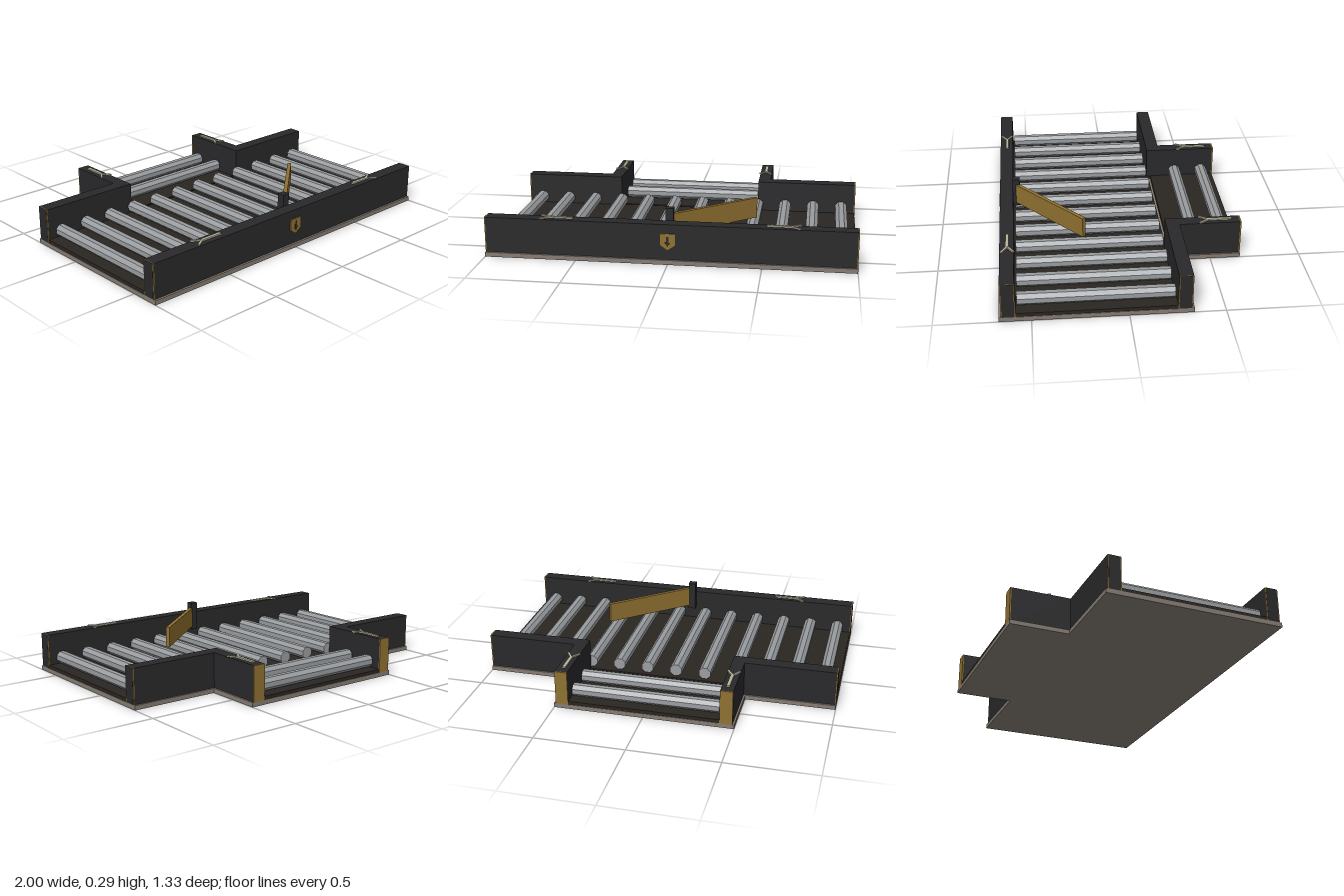
import * as THREE from 'three';

export function createModel() {
  const root = new THREE.Group();
  const mat = (color) => new THREE.MeshStandardMaterial({ color, flatShading: true });
  const stone = mat(0x857c72), floorMat = mat(0x2a2622), dark = mat(0x29292b);
  const gold = mat(0x8f7030), steel = mat(0x9a9da0), pale = mat(0xb8b29a);

  const add = (name, geo, material, parent = root) => {
    const m = new THREE.Mesh(geo, material);
    m.name = name;
    parent.add(m);
    return m;
  };
  // Box given by its minimum and maximum on each axis
  const box = (name, x0, x1, y0, y1, z0, z1, material, parent) => {
    const m = add(name, new THREE.BoxGeometry(x1 - x0, y1 - y0, z1 - z0), material, parent);
    m.position.set((x0 + x1) / 2, (y0 + y1) / 2, (z0 + z1) / 2);
    return m;
  };
  const extrude = (points, depth) => new THREE.ExtrudeGeometry(
    new THREE.Shape(points.map(([x, y]) => new THREE.Vector2(x, y))), { depth, bevelEnabled: false });

  // T-shaped base plate, drawn with shape y = -z
  const base = add('basePlate', extrude([[-1, -0.667], [1, -0.667], [1, 0.335], [0.5, 0.335],
    [0.5, 0.667], [-0.5, 0.667], [-0.5, 0.335], [-1, 0.335]], 0.025), stone);
  base.rotation.x = -Math.PI / 2;

  // Dark floor, split by a narrow seam at the mouth of the side branch
  box('mainFloor', -0.997, 0.997, 0.025, 0.044, -0.26, 0.58, floorMat);
  box('branchFloor', -0.42, 0.42, 0.025, 0.044, -0.664, -0.275, floorMat);

  // Walls
  const Y0 = 0.025, Y1 = 0.22;
  box('frontWall', -0.994, 0.994, Y0, Y1, 0.58, 0.655, dark);
  for (const s of [-1, 1]) {
    const span = (a, b) => (s > 0 ? [a, b] : [-b, -a]);
    box('backWall', ...span(0.42, 0.994), Y0, Y1, -0.325, -0.25, dark);
    box('branchWall', ...span(0.42, 0.49), Y0, Y1, -0.66, -0.325, dark);

    // Gold caps on the wall ends; the outer ones carry a dark inset
    for (const [z0, z1] of [[0.58, 0.655], [-0.325, -0.25]]) {
      box('endCap', ...span(0.994, 0.999), Y0, Y1, z0, z1, gold);
      box('endCapInset', ...span(0.999, 1), Y0, Y1, z0 + 0.005, z1 - 0.005, dark);
    }
    box('branchEndCap', ...span(0.42, 0.49), Y0, Y1, -0.667, -0.66, gold);
  }

  // Octagonal rollers with flats facing up and sideways
  const roller = (name, length, axis, x, z) => {
    const geo = new THREE.CylinderGeometry(0.036, 0.036, length, 8).rotateY(Math.PI / 8);
    if (axis === 'z') geo.rotateX(Math.PI / 2); else geo.rotateZ(Math.PI / 2);
    add(name, geo, steel).position.set(x, 0.083, z);
  };
  for (let i = 0; i < 12; i++) roller('mainRoller', 0.815, 'z', (i - 5.5) * 0.1667, 0.165);
  for (const z of [-0.588, -0.422]) roller('branchRoller', 0.82, 'x', 0, z);

  // Forked direction marks on the wall tops, pointing along local +x
  const mark = (x, z, turn) => {
    const g = new THREE.Group();
    g.name = 'directionMark';
    box('markStem', -0.12, 0.01, 0, 0.008, -0.009, 0.009, pale, g);
    for (const s of [-1, 1]) {
      const fork = box('markFork', -0.033, 0.033, 0, 0.007, -0.006, 0.006, pale, g);
      fork.position.set(0.03, 0.0035, s * 0.016);
      fork.rotation.y = -s * 0.57;
    }
    g.position.set(x, Y1, z);
    g.rotation.y = turn;
    root.add(g);
  };
  mark(-0.64, 0.614, Math.PI);
  mark(0.64, 0.614, 0);
  for (const s of [-1, 1]) mark(s * 0.453, -0.495, -Math.PI / 2);

  // Diverter post and its swung arm
  box('diverterPost', -0.021, 0.021, 0.12, 0.287, 0.54, 0.582, dark);
  const dx = 0.42, dz = -0.36;
  const arm = add('diverterArm', new THREE.BoxGeometry(Math.hypot(dx, dz), 0.115, 0.022), gold);
  arm.position.set(0.015 + dx / 2, 0.197, 0.555 + dz / 2);
  arm.rotation.y = Math.atan2(-dz, dx);

  // Front shield plate with a downward arrow
  add('shieldPlate', extrude([[-0.04, 0.17], [-0.04, 0.108], [0, 0.08], [0.04, 0.108], [0.04, 0.17]], 0.006),
    gold).position.z = 0.655;
  add('shieldArrow', extrude([[-0.006, 0.155], [-0.006, 0.122], [-0.016, 0.122], [0, 0.1],
    [0.016, 0.122], [0.006, 0.122], [0.006, 0.155]], 0.002), dark).position.z = 0.661;

  return root;
}
